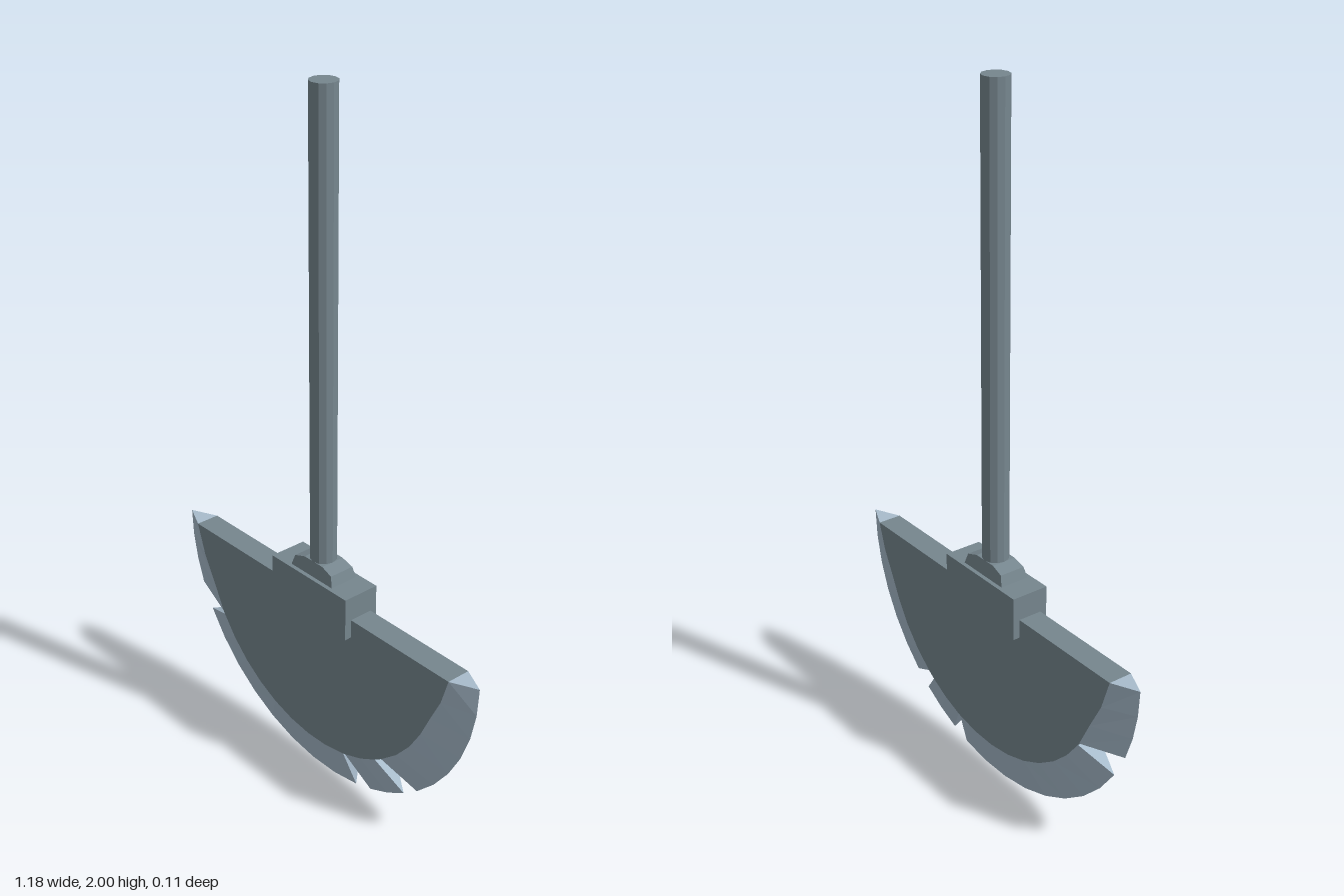
import * as THREE from 'three';

const CENTER_Y = 0.59, OUTER_R = 0.59, HALF = 0.035;

const steel = new THREE.MeshStandardMaterial({ color: 0x76868e });
steel.name = 'dark steel';
const edgeSteel = new THREE.MeshStandardMaterial({ color: 0xa8bccc });
edgeSteel.name = 'sharpened steel';

// Each edge piece: outer start/end and inner start/end angles, in degrees from straight down
const PIECES = [
  { outer: [-90, -67.4], inner: [-90, -58.5], steps: 3 },
  { outer: [-59.1, 13.7], inner: [-57.5, 15], steps: 8 },
  { outer: [19.7, 34.2], inner: [16, 32], steps: 2 },
  { outer: [40.3, 90], inner: [35.6, 90], steps: 6 },
];

function polar(deg, radius) {
  const t = THREE.MathUtils.degToRad(deg);
  return new THREE.Vector2(Math.sin(t) * radius, CENTER_Y - Math.cos(t) * radius);
}

// The core flares out slightly where it meets the straight top
const innerPoint = (deg) => polar(deg, 0.475 + 0.04 * Math.max(0, (Math.abs(deg) - 70) / 20));
const outerPoint = (deg) => polar(deg, OUTER_R);

function sections(piece) {
  const list = [];
  for (let i = 0; i <= piece.steps; i++) {
    const k = i / piece.steps;
    list.push({
      outer: outerPoint(THREE.MathUtils.lerp(...piece.outer, k)),
      inner: innerPoint(THREE.MathUtils.lerp(...piece.inner, k)),
    });
  }
  return list;
}

function trianglesToGeometry(positions) {
  const geometry = new THREE.BufferGeometry();
  geometry.setAttribute('position', new THREE.Float32BufferAttribute(positions, 3));
  geometry.computeVertexNormals();
  return geometry;
}

// Wedge-shaped strip: two bevels meeting at the cutting edge, capped at both ends
function edgeGeometry(list) {
  const out = [];
  const tri = (...corners) => corners.forEach((c) => out.push(...c));
  const rim = (s) => [s.outer.x, s.outer.y, 0];
  const root = (s, z) => [s.inner.x, s.inner.y, z];
  for (let i = 0; i < list.length - 1; i++) {
    const a = list[i], b = list[i + 1];
    tri(rim(a), rim(b), root(b, HALF));
    tri(rim(a), root(b, HALF), root(a, HALF));
    tri(rim(b), rim(a), root(b, -HALF));
    tri(rim(a), root(a, -HALF), root(b, -HALF));
  }
  const first = list[0], last = list[list.length - 1];
  tri(rim(first), root(first, HALF), root(first, -HALF));
  tri(rim(last), root(last, -HALF), root(last, HALF));
  return trianglesToGeometry(out);
}

// Stacked rectangles, each level given as [y, half width, half depth]
function steppedGeometry(levels) {
  const out = [];
  const rings = levels.map(([y, w, d]) => [[-w, y, d], [w, y, d], [w, y, -d], [-w, y, -d]]);
  const quad = (a, b, c, d) => [a, b, c, a, c, d].forEach((p) => out.push(...p));
  for (let i = 0; i < rings.length - 1; i++) {
    for (let j = 0; j < 4; j++) {
      const n = (j + 1) % 4;
      quad(rings[i][j], rings[i][n], rings[i + 1][n], rings[i + 1][j]);
    }
  }
  quad(...rings[rings.length - 1]);
  quad(...rings[0].slice().reverse());
  return trianglesToGeometry(out);
}

export function createModel() {
  const group = new THREE.Group();
  group.name = 'pendulumBlade';
  const add = (name, geometry, material, y = 0) => {
    const mesh = new THREE.Mesh(geometry, material);
    mesh.name = name;
    mesh.position.y = y;
    group.add(mesh);
    return mesh;
  };

  // Hanging rod
  const rod = new THREE.CylinderGeometry(0.037, 0.037, 1.34, 12).toNonIndexed();
  rod.computeVertexNormals();
  add('rod', rod, steel, 1.33);

  // Collar and clamp holding the blade
  add('collar', steppedGeometry([
    [0.655, 0.084, 0.044], [0.69, 0.073, 0.038], [0.702, 0.036, 0.036],
  ]), steel);
  add('clamp', new THREE.BoxGeometry(0.3, 0.125, 0.11), steel, 0.5975);

  // Flat blade core
  const strips = PIECES.map(sections);
  const outline = strips.flat().map((s) => s.inner);
  const core = new THREE.ExtrudeGeometry(new THREE.Shape(outline), { depth: HALF * 2, bevelEnabled: false });
  core.translate(0, 0, -HALF);
  add('bladeCore', core, steel);

  // Chipped cutting edge
  strips.forEach((list, i) => add('cuttingEdge' + (i + 1), edgeGeometry(list), edgeSteel));

  return group;
}
